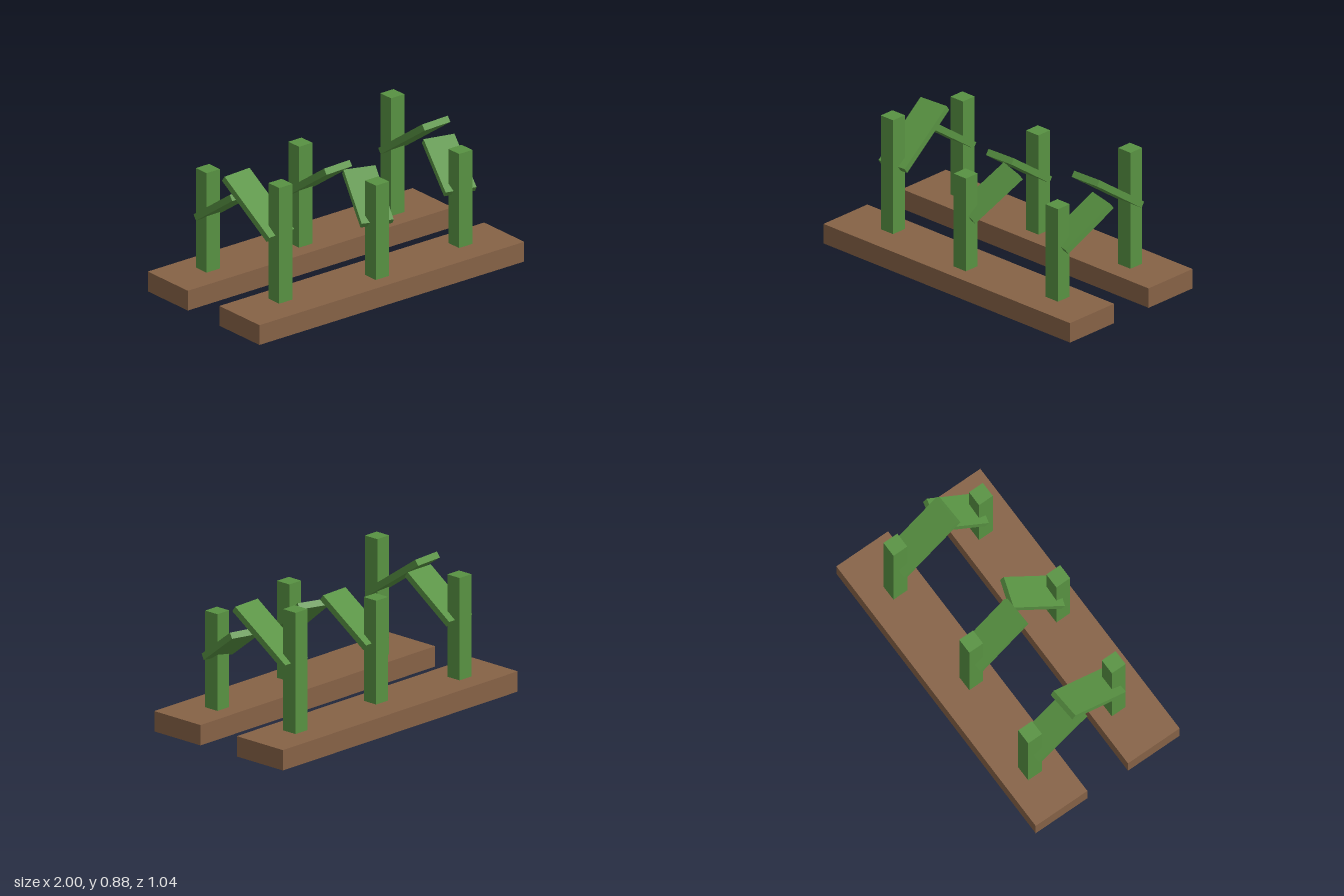
import * as THREE from 'three';

export function createModel() {
  const root = new THREE.Group();
  root.name = 'plankBarrier';

  const brown = new THREE.MeshStandardMaterial({ color: 0x866246, side: THREE.DoubleSide });
  brown.name = 'earth brown';
  const green = new THREE.MeshStandardMaterial({ color: 0x589242 });
  green.name = 'leaf green';

  const baseHeight = 0.126;
  const tilt = THREE.MathUtils.degToRad(35);

  // Base slab: a box without its underside
  function addBase(name, z) {
    const geo = new THREE.BoxGeometry(2, baseHeight, 0.374);
    const index = Array.from(geo.index.array);
    index.splice(18, 6);
    geo.setIndex(index);
    geo.clearGroups();
    const base = new THREE.Mesh(geo, brown);
    base.name = name;
    base.position.set(0, baseHeight / 2, z);
    root.add(base);
  }

  // Post with a tilted plank that starts inside it and rises inward
  function addPost(name, x, z, height, yawDegrees) {
    const unit = new THREE.Group();
    unit.name = name;
    unit.position.set(x, baseHeight, z);

    const post = new THREE.Mesh(new THREE.BoxGeometry(0.1, height, 0.1), green);
    post.name = 'post';
    post.position.y = height / 2;
    unit.add(post);

    const length = height * 0.64;
    const geo = new THREE.BoxGeometry(0.2, 0.04, length);
    geo.translate(0, 0, length / 2);
    const plank = new THREE.Mesh(geo, green);
    plank.name = 'plank';
    plank.position.y = height * 0.55;
    plank.rotation.order = 'YXZ';
    plank.rotation.set(-tilt, THREE.MathUtils.degToRad(yawDegrees), 0);
    unit.add(plank);

    root.add(unit);
  }

  addBase('frontBase', 0.334);
  addBase('backBase', -0.334);

  // x, z, height, plank heading (0 points to the front)
  addPost('frontRightPost', -0.656, 0.292, 0.737, 183.8);
  addPost('frontMiddlePost', 0.01, 0.371, 0.601, 161);
  addPost('frontLeftPost', 0.693, 0.304, 0.599, 165.5);
  addPost('backRightPost', -0.693, -0.34, 0.634, 0.8);
  addPost('backMiddlePost', -0.034, -0.291, 0.643, 2.2);
  addPost('backLeftPost', 0.685, -0.321, 0.751, 2);

  return root;
}
